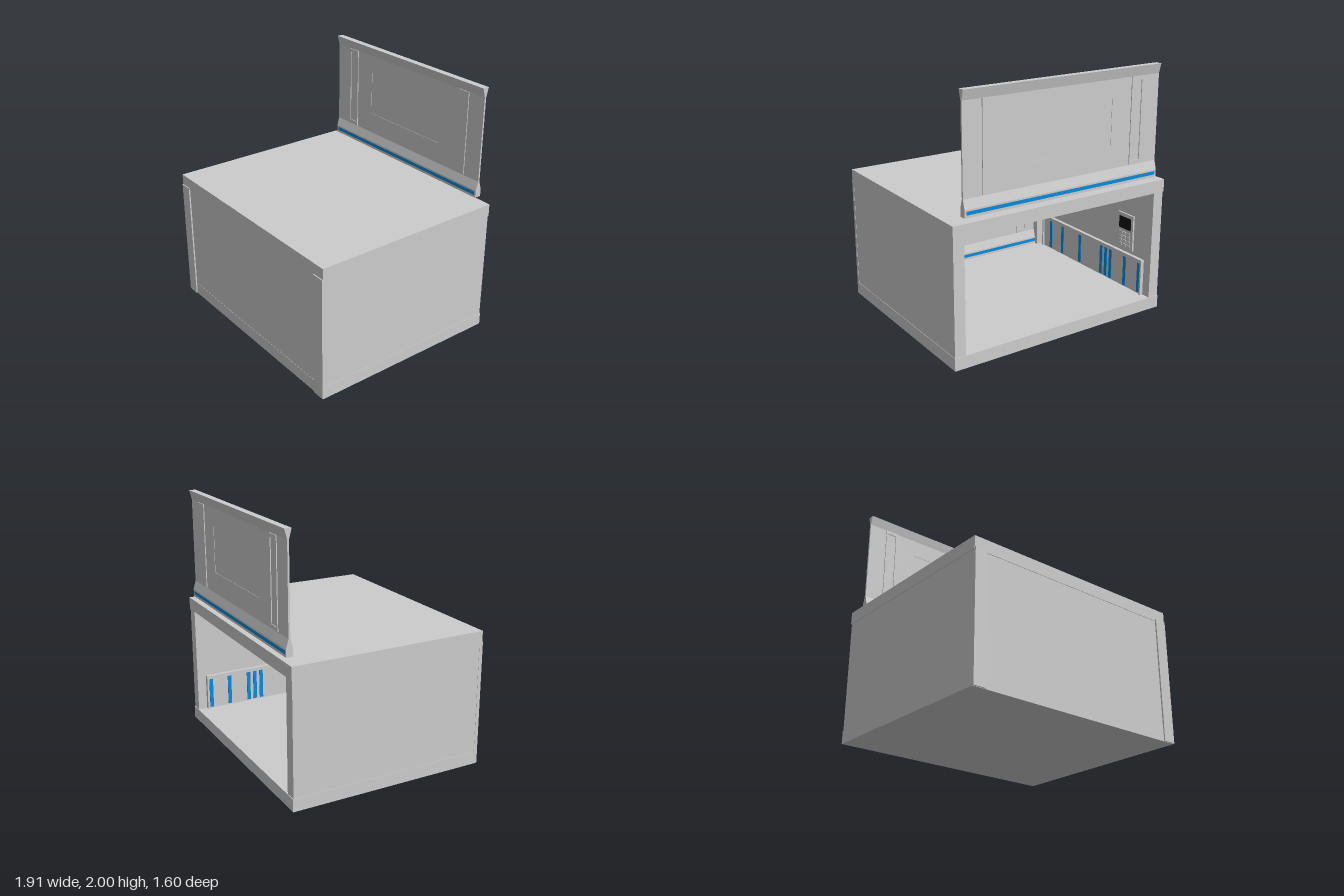
import * as THREE from 'three';

const grey = new THREE.MeshStandardMaterial({ color: 0xcccccc, flatShading: true });
const greyBoth = new THREE.MeshStandardMaterial({ color: 0xcccccc, flatShading: true, side: THREE.DoubleSide });
const blue = new THREE.MeshStandardMaterial({ color: 0x0a8ad8 });
const black = new THREE.MeshStandardMaterial({ color: 0x111111 });

function add(parent, name, geometry, material = grey) {
  const mesh = new THREE.Mesh(geometry, material);
  mesh.name = name;
  parent.add(mesh);
  return mesh;
}

// Box given by its limits on each axis
function box(parent, name, [x0, x1], [y0, y1], [z0, z1], material) {
  const mesh = add(parent, name, new THREE.BoxGeometry(x1 - x0, y1 - y0, z1 - z0), material);
  mesh.position.set((x0 + x1) / 2, (y0 + y1) / 2, (z0 + z1) / 2);
  return mesh;
}

function rectangle(x0, x1, y0, y1, Type = THREE.Shape) {
  return new Type([[x0, y0], [x1, y0], [x1, y1], [x0, y1]].map(p => new THREE.Vector2(...p)));
}

// Flat plate in the xy plane, centred on z = 0, with optional holes
function plate(parent, name, shape, holes, depth) {
  shape.holes.push(...holes);
  const geometry = new THREE.ExtrudeGeometry(shape, { depth, bevelEnabled: false });
  geometry.translate(0, 0, -depth / 2);
  return add(parent, name, geometry);
}

// Rail with a (z, y) half profile, mirrored in z and run along x
function rail(parent, name, half, x0, x1) {
  const points = [...half, ...half.map(([z, y]) => [-z, y]).reverse()];
  const shape = new THREE.Shape(points.map(([z, y]) => new THREE.Vector2(z, y)));
  const geometry = new THREE.ExtrudeGeometry(shape, { depth: x1 - x0, bevelEnabled: false });
  geometry.rotateY(-Math.PI / 2).translate(x1, 0, 0);
  return add(parent, name, geometry);
}

// Door panel, bottom edge on y = 0, the same on both faces
function buildDoor(name) {
  const door = new THREE.Group();
  door.name = name;
  const [x0, x1] = [-0.865, 0.855];
  rail(door, 'doorBottomRail', [[0.027, 0], [0.027, 0.06], [0.007, 0.13]], x0, x1);
  rail(door, 'doorTopRail', [[0.007, 0.805], [0.027, 0.88]], x0, x1);
  plate(door, 'doorPlate', rectangle(x0, x1, 0.13, 0.805), [rectangle(-0.42, 0.41, 0.3, 0.66, THREE.Path)], 0.014);
  box(door, 'doorInsetPanel', [-0.42, 0.41], [0.3, 0.66], [-0.004, 0.004]);
  box(door, 'doorLightStrip', [-0.85, 0.84], [0.02, 0.047], [-0.028, 0.028], blue);
  // Upright ribs: one solid, one with a sunk middle
  box(door, 'doorRib', [0.59, 0.7], [0.135, 0.805], [-0.014, 0.014]);
  plate(door, 'doorRibFrame', rectangle(-0.71, -0.6, 0.135, 0.805),
    [rectangle(-0.695, -0.615, 0.165, 0.775, THREE.Path)], 0.028);
  return door;
}

// Low wall panel with upright light strips; side is +1 or -1
function buildWainscot(side) {
  const group = new THREE.Group();
  group.name = side > 0 ? 'leftWainscot' : 'rightWainscot';
  const across = (a, b) => (side > 0 ? [a, b] : [-b, -a]);
  box(group, 'wainscotPanel', across(0.845, 0.87), [0.1, 0.37], [-0.72, 0.62]);
  box(group, 'wainscotCap', across(0.83, 0.87), [0.37, 0.4], [-0.72, 0.62]);
  for (const z of [-0.72, 0.605]) box(group, 'wainscotEnd', across(0.83, 0.87), [0.1, 0.37], [z, z + 0.015]);
  for (const z of [-0.68, -0.51, -0.33, -0.27, -0.21, 0.08, 0.33, 0.5])
    box(group, 'wallLightStrip', across(0.84, 0.85), [0.11, 0.37], [z - 0.016, z + 0.016], blue);
  return group;
}

// Wall keypad with screen and buttons, facing +x
function buildKeypad() {
  const keypad = new THREE.Group();
  keypad.name = 'keypad';
  box(keypad, 'keypadBody', [-0.86, -0.845], [0.43, 0.73], [-0.59, -0.4]);
  box(keypad, 'keypadScreen', [-0.846, -0.842], [0.6, 0.7], [-0.565, -0.425], black);
  for (let row = 0; row < 4; row++)
    for (let col = 0; col < 3; col++) {
      const y = 0.45 + row * 0.034, z = -0.56 + col * 0.047;
      box(keypad, 'keypadButton', [-0.846, -0.839], [y, y + 0.023], [z, z + 0.034]);
    }
  return keypad;
}

// Sloped square frame hanging under the ceiling, with light strips inside
function buildCeiling() {
  const ceiling = new THREE.Group();
  ceiling.name = 'ceilingPanel';
  const profile = [[1, 0.985], [0.87, 0.945], [0.86, 0.985]].map(([r, y]) => new THREE.Vector2(r * Math.SQRT2, y));
  const frame = new THREE.LatheGeometry(profile, 4);
  frame.rotateY(Math.PI / 4).scale(0.74, 1, 0.6);
  add(ceiling, 'ceilingFrame', frame, greyBoth);
  for (const x of [-0.56, -0.48, -0.1, -0.03, 0.04, 0.4, 0.48])
    box(ceiling, 'ceilingLightStrip', [x - 0.018, x + 0.018], [0.977, 0.986], [-0.51, 0.51], blue);
  return ceiling;
}

export function createModel() {
  const model = new THREE.Group();
  model.name = 'room';

  // Shell, open at the back
  box(model, 'floorSlab', [-0.953, 0.953], [0, 0.1], [-0.8, 0.79]);
  box(model, 'roofSlab', [-0.955, 0.953], [0.985, 1.085], [-0.8, 0.792]);
  box(model, 'frontWall', [-0.86, 0.86], [0.1, 0.985], [0.75, 0.788]);
  for (const side of [-1, 1]) {
    const across = (a, b) => (side > 0 ? [a, b] : [-b, -a]);
    box(model, 'sideWall', across(0.86, 0.95), [0.1, 0.985], [-0.795, 0.79]);
    box(model, 'frontCornerPost', across(0.85, 0.952), [0.003, 1.0], [0.77, 0.8]);
    box(model, 'innerCornerPost', across(0.8, 0.87), [0.1, 0.985], [0.66, 0.75]);
    model.add(buildWainscot(side));
  }

  // Inside fittings
  model.add(buildKeypad(), buildCeiling());
  const closedDoor = buildDoor('closedDoor');
  closedDoor.position.set(0, 0.1, 0.722);
  model.add(closedDoor);

  // Door raised above the back opening
  const raisedDoor = buildDoor('raisedDoor');
  raisedDoor.position.set(0, 1.12, -0.768);
  model.add(raisedDoor);
  return model;
}
